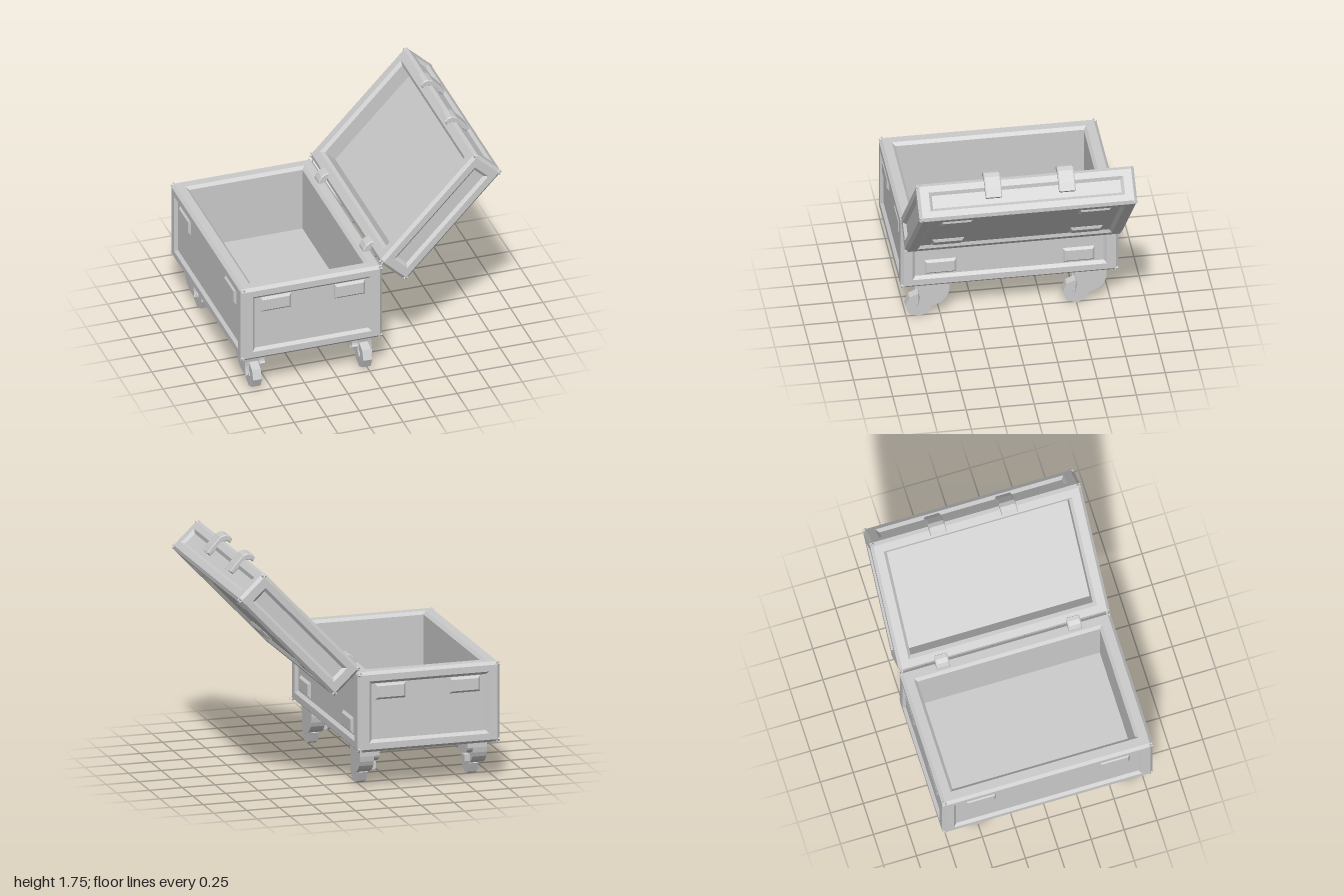
import * as THREE from 'three';

const material = new THREE.MeshStandardMaterial({ color: 0xcccccc, flatShading: true });
const BEVEL = 0.022; // chamfer size, also the depth of the recessed panels

function addMesh(parent, name, geometry, x = 0, y = 0, z = 0) {
  const mesh = new THREE.Mesh(geometry, material);
  mesh.name = name;
  mesh.position.set(x, y, z);
  parent.add(mesh);
  return mesh;
}

function addBox(parent, name, x0, x1, y0, y1, z0, z1) {
  return addMesh(parent, name, new THREE.BoxGeometry(x1 - x0, y1 - y0, z1 - z0),
    (x0 + x1) / 2, (y0 + y1) / 2, (z0 + z1) / 2);
}

function rectPoints(w, h) {
  return [[-w, -h], [w, -h], [w, h], [-w, h]].map(([x, y]) => new THREE.Vector2(x / 2, y / 2));
}

// Chamfered rectangle with its front at z = 0; an optional opening makes it a frame
function plateGeometry(w, h, marginX = 0, marginY = 0, bevel = BEVEL) {
  const shape = new THREE.Shape(rectPoints(w, h));
  if (marginX) {
    const hole = rectPoints(w - 2 * (marginX + bevel), h - 2 * (marginY + bevel));
    shape.holes.push(new THREE.Path(hole.reverse()));
  }
  const geo = new THREE.ExtrudeGeometry(shape, {
    depth: 0.001, bevelThickness: bevel, bevelSize: bevel, bevelOffset: -bevel, bevelSegments: 1,
  });
  return geo.translate(0, 0, -0.001 - bevel);
}

// Open-topped case with framed, recessed sides: x 0..L, y 0..H, z centred
function makeCase(name, L, H, W, floorY, framedBottom) {
  const g = new THREE.Group();
  g.name = name;
  const b = BEVEL, m = 0.086, t = m + b, my = 0.07, q = Math.PI / 2;

  // Walls and floor inside the frames
  for (const s of [-1, 1]) {
    const zA = s * (W / 2 - b), zB = s * (W / 2 - t);
    addBox(g, 'sideWall', b, L - b, b, H - b, Math.min(zA, zB), Math.max(zA, zB));
  }
  addBox(g, 'endWall', b, t, b, H - b, -W / 2 + t, W / 2 - t);
  addBox(g, 'endWall', L - t, L - b, b, H - b, -W / 2 + t, W / 2 - t);
  addBox(g, 'floor', t, L - t, b, floorY, -W / 2 + t, W / 2 - t);

  // Chamfered frames
  const frame = (part, geo, x, y, z, rx, ry) => addMesh(g, part, geo, x, y, z).rotation.set(rx, ry, 0);
  frame('frontFrame', plateGeometry(L, H, m, my), L / 2, H / 2, W / 2, 0, 0);
  frame('backFrame', plateGeometry(L, H, m, my), L / 2, H / 2, -W / 2, 0, Math.PI);
  frame('rightEndFrame', plateGeometry(W, H, m, my), 0, H / 2, 0, 0, -q);
  frame('leftEndFrame', plateGeometry(W, H, m, my), L, H / 2, 0, 0, q);
  frame('rim', plateGeometry(L, W, m, m), L / 2, H, 0, -q, 0);
  frame('base', plateGeometry(L, W, framedBottom ? m : 0, m), L / 2, 0, 0, q, 0);
  return g;
}

// Raised rectangular pad lying on a recessed panel
function addPad(parent, x, y, z, rx, ry, w = 0.235, h = 0.12) {
  addMesh(parent, 'pad', plateGeometry(w, h, 0, 0, 0.017), x, y, z).rotation.set(rx, ry, 0);
}

// Profile in the x-y plane, extruded along z about a centre
function addProfile(parent, name, points, width, z) {
  const shape = new THREE.Shape(points.map(([x, y]) => new THREE.Vector2(x, y)));
  const geo = new THREE.ExtrudeGeometry(shape, {
    depth: width - 0.016, bevelThickness: 0.008, bevelSize: 0.006, bevelOffset: -0.006, bevelSegments: 1,
  });
  addMesh(parent, name, geo.translate(0, 0, -width / 2 + 0.008), 0, 0, z);
}

// Curved bracket outline: x is depth, y is height, bottom is where it is cut off
function bracketShape(bottom) {
  const s = new THREE.Shape();
  s.moveTo(0.035, 0.31);
  s.quadraticCurveTo(-0.02, 0.2, 0.015, bottom);
  s.lineTo(-0.07, bottom);
  s.quadraticCurveTo(-0.21, bottom + 0.02, -0.22, 0.25);
  s.lineTo(-0.22, 0.31);
  return s;
}

// Caster; side is the x direction that faces away from the case
function makeCaster(side) {
  const g = new THREE.Group();
  g.name = 'caster';
  const slab = (name, a, b, bottom) => {
    const geo = new THREE.ExtrudeGeometry(bracketShape(bottom), {
      depth: Math.abs(a - b), bevelEnabled: false, curveSegments: 6,
    });
    addMesh(g, name, geo.rotateY(-Math.PI / 2), Math.max(a * side, b * side));
  };
  slab('bracket', 0.0625, -0.045, 0.1);
  slab('bracketShoulder', -0.045, -0.0875, 0.18);
  addBox(g, 'brakeLever', -side * 0.066 - 0.021, -side * 0.066 + 0.021, 0.13, 0.18, -0.14, -0.06);
  const wheel = new THREE.CylinderGeometry(0.1, 0.1, 0.066, 8).rotateZ(Math.PI / 2);
  addMesh(g, 'wheel', wheel, 0, 0.1, 0);
  const hub = new THREE.CylinderGeometry(0.03, 0.03, 0.085, 8).rotateZ(Math.PI / 2);
  addMesh(g, 'axle', hub, 0, 0.1, 0);
  return g;
}

export function createModel() {
  const model = new THREE.Group();
  model.name = 'rollingCase';
  const L = 1.085, H = 0.605, W = 1.6, q = Math.PI / 2;
  const inset = BEVEL - 0.02; // pad front sits just under the frame front

  // Body
  const body = makeCase('body', L, H, W, 0.085, false);
  body.position.set(-1, 0.3, 0);
  for (const x of [0.268, 0.835]) {
    addPad(body, x, 0.45, W / 2 - inset, 0, 0);
    addPad(body, x, 0.45, -W / 2 + inset, 0, Math.PI);
  }
  for (const z of [-0.508, 0.508]) {
    addPad(body, inset, 0.45, z, 0, -q);
    addPad(body, L - inset, 0.165, z, 0, q);
  }
  model.add(body);

  // Open lid, tilted back on its hinges
  const lidL = 1.075, lidH = 0.28;
  const lid = makeCase('lid', lidL, lidH, W, 0.15, true);
  lid.position.set(0.263, 0.742, 0);
  lid.rotation.z = THREE.MathUtils.degToRad(46.5);
  for (const x of [0.225, 0.86])
    for (const z of [-0.508, 0.508]) addPad(lid, x, inset, z, q, 0, 0.12, 0.235);

  // Latches hooked over the free end of the lid
  const latch = [[1.015, 0.298], [1.025, 0.332], [1.06, 0.334], [1.09, 0.315], [1.105, 0.28],
    [1.1, 0.19], [1.092, 0.13], [1.06, 0.13], [1.06, 0.275], [1.04, 0.296]];
  for (const z of [0.243, -0.297]) addProfile(lid, 'latch', latch, 0.122, z);
  model.add(lid);

  // Hinges
  const hinge = [[0.01, 0.895], [0.015, 0.925], [0.035, 0.957], [0.065, 0.977], [0.095, 0.98],
    [0.108, 0.962], [0.085, 0.93], [0.06, 0.895]];
  for (const z of [0.52, -0.483]) addProfile(model, 'hinge', hinge, 0.1, z);

  // Casters
  for (const [x, side] of [[-0.8625, -1], [-0.0175, 1]])
    for (const z of [0.657, -0.497]) {
      const caster = makeCaster(side);
      caster.position.set(x, 0, z);
      model.add(caster);
    }
  return model;
}
